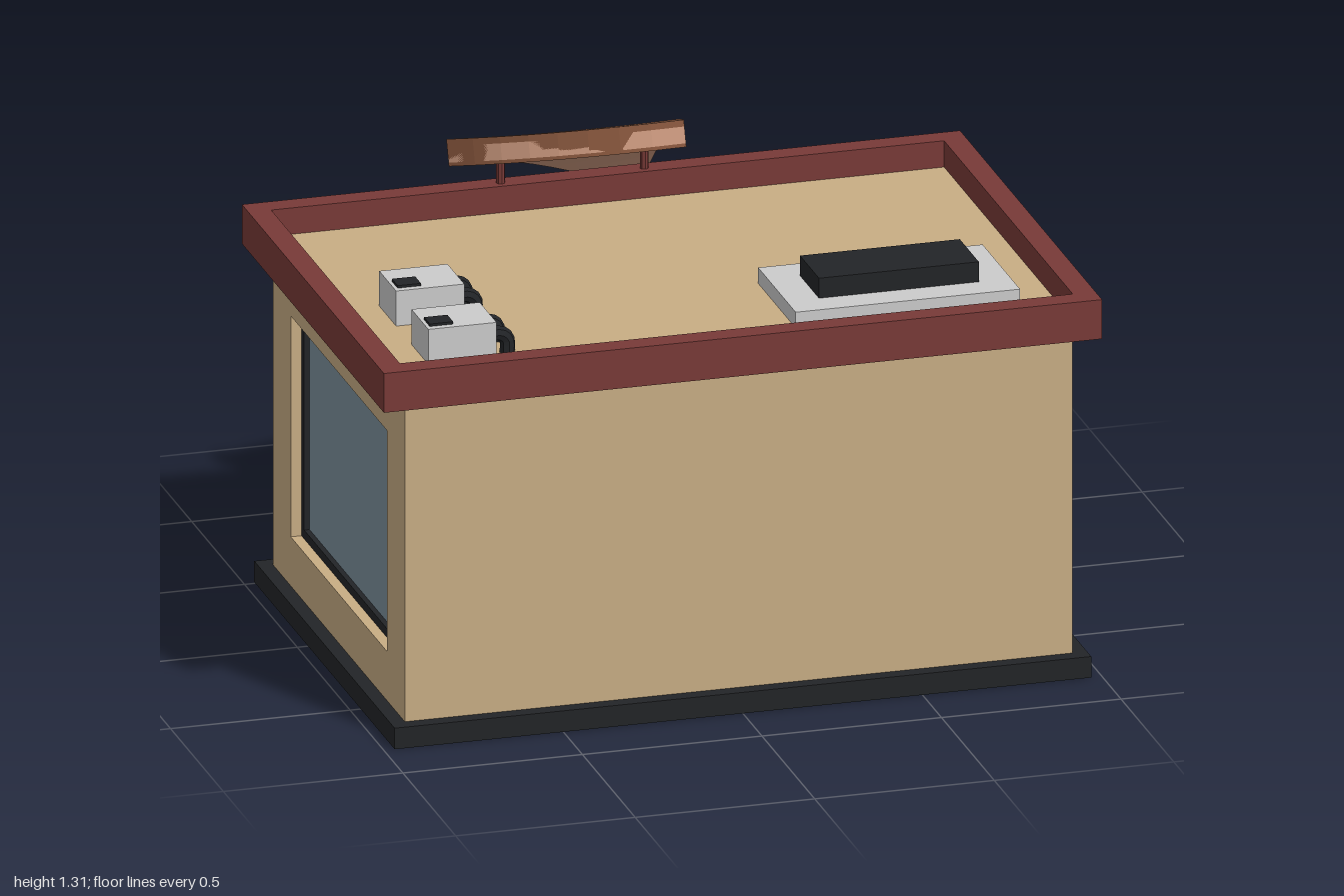
import * as THREE from 'three';

const mat = (color, side = THREE.FrontSide) =>
  new THREE.MeshStandardMaterial({ color, side, flatShading: true });
const TAN = mat(0xc8ad84, THREE.DoubleSide), RED = mat(0x783a37), BLACK = mat(0x222427),
  GLASS = mat(0x7c919d, THREE.DoubleSide), GREY = mat(0xcccccc), DOOR = mat(0x4e4e4e),
  PIZZA = mat(0xc8967c), CRUST = mat(0x85553c), PEPPERONI = mat(0x7a403d),
  CLOTH = mat(0xcccccc, THREE.DoubleSide), ORANGE = mat(0xd29e7c, THREE.DoubleSide);

function add(parent, name, geo, material, x = 0, y = 0, z = 0) {
  const m = new THREE.Mesh(geo, material);
  m.name = name;
  m.position.set(x, y, z);
  parent.add(m);
  return m;
}

// box given by its minimum and maximum corners
const block = (parent, name, material, [x0, y0, z0], [x1, y1, z1]) =>
  add(parent, name, new THREE.BoxGeometry(x1 - x0, y1 - y0, z1 - z0), material,
    (x0 + x1) / 2, (y0 + y1) / 2, (z0 + z1) / 2);

const rect = (C, x, y, w, h) => new C([[x - w / 2, y - h / 2], [x + w / 2, y - h / 2],
  [x + w / 2, y + h / 2], [x - w / 2, y + h / 2]].map(p => new THREE.Vector2(...p)));

// rectangular ring with border b, extruded by d
function ring(w, h, b, d) {
  const s = rect(THREE.Shape, 0, 0, w, h);
  s.holes.push(rect(THREE.Path, 0, 0, w - 2 * b, h - 2 * b));
  return new THREE.ExtrudeGeometry(s, { depth: d, bevelEnabled: false });
}

// wall panel facing local +z, with openings [x, y, w, h]
function wall(name, w, openings) {
  const g = new THREE.Group();
  g.name = name;
  const s = rect(THREE.Shape, 0, 0.5, w, 1);
  openings.forEach(o => s.holes.push(rect(THREE.Path, ...o)));
  add(g, 'wallSurface', new THREE.ShapeGeometry(s), TAN);
  return g;
}

function addWindow(g, [x, y, w, h]) {
  add(g, 'windowRecess', ring(w + 0.008, h + 0.008, 0.004, 0.05), TAN, x, y, -0.05);
  add(g, 'windowFrame', ring(w, h, 0.025, 0.02), BLACK, x, y, -0.05);
  add(g, 'windowGlass', new THREE.PlaneGeometry(w - 0.04, h - 0.04), GLASS, x, y, -0.045);
}

// curved, scalloped awning strips with crescent ends, at local z = 0 outwards
function awning() {
  const g = new THREE.Group(), n = 7, w = 0.49 / n;
  g.name = 'awning';
  for (let i = 0; i < n; i++) {
    const geo = new THREE.PlaneGeometry(w, 1, 2, 12), p = geo.attributes.position;
    for (let k = 0; k < p.count; k++) {
      const a = (0.5 - p.getY(k)) * Math.PI / 2;
      const s = Math.max(0, (a - 1) / (Math.PI / 2 - 1));
      p.setXYZ(k, p.getX(k) * (0.4 + 0.6 * Math.sqrt(1 - s * s)),
        0.75 + 0.115 * Math.cos(a), 0.24 * Math.sin(a));
    }
    geo.computeVertexNormals();
    add(g, 'awningStrip', geo, i % 2 ? ORANGE : CLOTH, (i - 3) * w);
  }
  const end = new THREE.Shape();
  end.moveTo(0, 0.8);
  end.quadraticCurveTo(-0.06, 0.84, -0.185, 0.815);
  end.quadraticCurveTo(-0.1, 0.865, 0, 0.865);
  for (const x of [-0.244, 0.244])
    add(g, 'awningEnd', new THREE.ShapeGeometry(end, 6), ORANGE, x).rotation.y = Math.PI / 2;
  return g;
}

// drooping slice: surface between two edge curves that meet at the tip
const curve = pts => new THREE.CatmullRomCurve3(pts.map(p => new THREE.Vector3(...p)));
const edgeL = curve([[-0.42, 1.17, -0.555], [-0.26, 1.12, -0.66], [-0.08, 1.05, -0.75],
  [0.1, 0.95, -0.825], [0.19, 0.82, -0.81]]);
const edgeR = curve([[0.14, 1.29, -0.21], [0.165, 1.22, -0.42], [0.185, 1.13, -0.62],
  [0.2, 0.97, -0.79], [0.21, 0.82, -0.8]]);
function slicePoint(u, v) {
  const b = 4 * u * (1 - u) * (1 - v);
  return edgeL.getPoint(v).lerp(edgeR.getPoint(v), u)
    .add(new THREE.Vector3(-0.042, 0.02, 0.068).multiplyScalar(b));
}
function sliceNormal(v) {
  const c = Math.min(Math.max(v, 0.03), 0.93);
  const du = slicePoint(1, c).sub(slicePoint(0, c));
  const dv = slicePoint(0.5, c + 0.03).sub(slicePoint(0.5, c - 0.03));
  return du.cross(dv).normalize();
}
// slab over the slice surface from v0 to v1, between two offsets along the normal
function sliceSlab(v0, v1, low, high, nv) {
  const geo = new THREE.BoxGeometry(1, 1, 1, 8, 1, nv), p = geo.attributes.position;
  for (let k = 0; k < p.count; k++) {
    const v = v0 + (v1 - v0) * (0.5 - p.getZ(k));
    const q = slicePoint(p.getX(k) + 0.5, v)
      .addScaledVector(sliceNormal(v), p.getY(k) > 0 ? high : low);
    p.setXYZ(k, q.x, q.y, q.z);
  }
  geo.computeVertexNormals();
  return geo;
}

function pizzaSign() {
  const g = new THREE.Group();
  g.name = 'pizzaSign';
  add(g, 'pizzaSlice', sliceSlab(0, 1, -0.045, 0, 12), PIZZA);
  add(g, 'pizzaCrust', sliceSlab(0, 0.07, -0.055, 0.018, 1), CRUST);
  for (const [u, v, r] of [[0.45, 0.56, 0.05], [0.63, 0.35, 0.06], [0.32, 0.2, 0.06], [0.68, 0.17, 0.06], [0.5, 0.86, 0.03]]) {
    const n = sliceNormal(v), q = slicePoint(u, v);
    add(g, 'pepperoni', new THREE.CylinderGeometry(r, r, 0.02, 7), PEPPERONI, q.x, q.y, q.z)
      .quaternion.setFromUnitVectors(new THREE.Vector3(0, 1, 0), n);
  }
  for (const x of [-0.29, 0.11])
    add(g, 'signPost', new THREE.CylinderGeometry(0.012, 0.012, 0.15, 8), RED, x, 1.07, -0.49);
  return g;
}

// rooftop unit with two elbow pipes
function roofUnit(z) {
  const g = new THREE.Group();
  g.name = 'roofUnit';
  block(g, 'unitBody', GREY, [-0.81, 1, z], [-0.62, 1.1, z + 0.16]);
  block(g, 'unitVent', BLACK, [-0.8, 1.095, z + 0.085], [-0.735, 1.107, z + 0.14]);
  const path = curve([[-0.63, 1.055, 0], [-0.6, 1.055, 0], [-0.582, 1.04, 0], [-0.58, 1, 0]]);
  for (const dz of [0.03, 0.125])
    add(g, 'unitPipe', new THREE.TubeGeometry(path, 8, 0.021, 8), BLACK, 0, 0, z + dz);
  return g;
}

export function createModel() {
  const model = new THREE.Group();
  model.name = 'pizzeria';

  // walls
  const front = wall('frontWall', 1.86, []);
  front.position.z = 0.78;
  const big = [0, 0.515, 0.91, 0.63];
  for (const s of [-1, 1]) {
    const side = wall('sideWall', 1.25, [big]);
    addWindow(side, big);
    side.position.set(s * 0.93, 0, 0.155);
    side.rotation.y = s * Math.PI / 2;
    model.add(side);
  }
  const small = [-0.565, 0.565].map(x => [x, 0.57, 0.39, 0.52]);
  const back = wall('backWall', 1.86, [...small, [0, 0.376, 0.5, 0.748]]);
  back.position.z = -0.47;
  back.rotation.y = Math.PI;
  small.forEach(o => {
    addWindow(back, o);
    const a = awning();
    a.position.x = o[0];
    back.add(a);
  });
  model.add(front, back);

  // double door
  add(back, 'doorFrame', ring(0.5, 0.75, 0.018, 0.04), BLACK, 0, 0.375, -0.04);
  block(back, 'doorGap', BLACK, [-0.24, 0, -0.045], [0.24, 0.74, -0.03]);
  for (const s of [-1, 1])
    add(back, 'doorLeaf', new THREE.BoxGeometry(0.228, 0.73, 0.03), DOOR, s * 0.119, 0.366, -0.035);
  add(back, 'doorKnob', new THREE.SphereGeometry(0.018, 10, 8), BLACK, 0, 0.37, -0.012);

  // plinth with a gap at the door
  block(model, 'plinthFront', BLACK, [-0.97, 0, 0.78], [0.97, 0.06, 0.82]);
  for (const s of [-1, 1]) {
    add(model, 'plinthSide', new THREE.BoxGeometry(0.04, 0.06, 1.25), BLACK, s * 0.95, 0.03, 0.155);
    add(model, 'plinthBack', new THREE.BoxGeometry(0.72, 0.06, 0.04), BLACK, s * 0.61, 0.03, -0.49);
  }

  // parapet and roof
  add(model, 'parapet', ring(2, 1.345, 0.063, 0.112), RED, 0, 0.963, 0.148).rotation.x = -Math.PI / 2;
  add(model, 'roofDeck', new THREE.PlaneGeometry(1.88, 1.23), TAN, 0, 1, 0.15).rotation.x = -Math.PI / 2;

  // rooftop equipment
  block(model, 'hatchCurb', GREY, [0.21, 1, 0.25], [0.835, 1.045, 0.605]);
  block(model, 'hatch', BLACK, [0.3, 1.04, 0.34], [0.745, 1.102, 0.52]);
  model.add(roofUnit(0.13), roofUnit(0.435), pizzaSign());
  return model;
}
